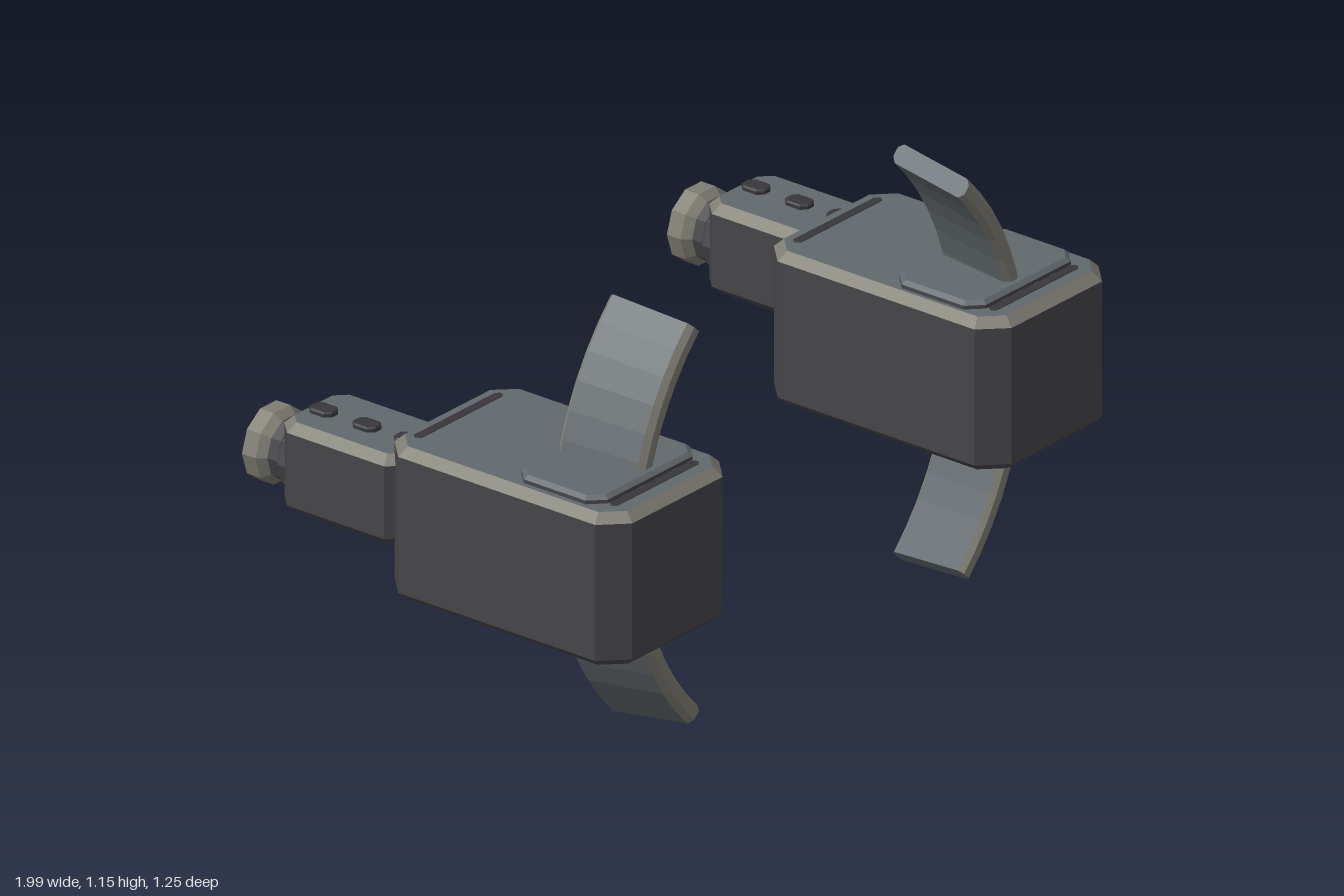
import * as THREE from 'three';

const mat = (name, color) => {
  const m = new THREE.MeshStandardMaterial({ color });
  m.name = name;
  return m;
};

// Flat-faced geometry from a list of triangles' corner points
function fromPoints(points) {
  const g = new THREE.BufferGeometry().setFromPoints(points);
  g.computeVertexNormals();
  return g;
}

// Quads between successive rings, for the chosen edges of the section
function skin(rings, keep = () => true) {
  const out = [];
  for (let r = 0; r + 1 < rings.length; r++) {
    const a = rings[r], b = rings[r + 1], n = a.length;
    for (let i = 0; i < n; i++) {
      if (!keep(i)) continue;
      const j = (i + 1) % n;
      out.push(a[i], a[j], b[j], a[i], b[j], b[i]);
    }
  }
  return out;
}

function cap(ring, flip = false) {
  const out = [];
  for (let i = 1; i + 1 < ring.length; i++) {
    out.push(ring[0], ring[flip ? i + 1 : i], ring[flip ? i : i + 1]);
  }
  return out;
}

// Rectangle with cut corners, lying level at height y
function cutRect(x0, x1, z0, z1, cut, y, inset = 0) {
  x0 += inset; x1 -= inset; z0 += inset; z1 -= inset;
  const c = Math.max(cut - inset * 0.586, 0.004);
  return [
    [x1, z1 - c], [x1, z0 + c], [x1 - c, z0], [x0 + c, z0],
    [x0, z0 + c], [x0, z1 - c], [x0 + c, z1], [x1 - c, z1],
  ].map(([x, z]) => new THREE.Vector3(x, y, z));
}

// Copy across x = 0 with the winding restored
function mirrored(geometry) {
  const g = geometry.clone().scale(-1, 1, 1);
  const p = g.attributes.position;
  const a = new THREE.Vector3(), b = new THREE.Vector3();
  for (let i = 0; i < p.count; i += 3) {
    a.fromBufferAttribute(p, i + 1);
    b.fromBufferAttribute(p, i + 2);
    p.setXYZ(i + 1, b.x, b.y, b.z);
    p.setXYZ(i + 2, a.x, a.y, a.z);
  }
  g.computeVertexNormals();
  return g;
}

export function createModel() {
  const dark = mat('dark casing', 0x464549);
  const plate = mat('grey plate', 0x62696d);
  const trim = mat('worn edge', 0x7f7d73);
  const black = mat('black detail', 0x38373b);

  const parts = [];
  const add = (name, geometry, material) => parts.push({ name, geometry, material });

  // Block with cut corners, bevelled top and bottom
  function block(name, [x0, x1, y0, y1, z0, z1], cut, top, bottom, [side, rim, lid]) {
    const ring = (y, inset) => cutRect(x0, x1, z0, z1, cut, y, inset);
    const low = ring(y0, bottom), high = ring(y1, top[0]), shoulder = ring(y1 - top[1], 0);
    add(name + 'Sides', fromPoints([
      ...cap(low, true), ...skin([low, ring(y0 + bottom, 0), shoulder]),
    ]), side);
    add(name + 'Rim', fromPoints(skin([shoulder, high])), rim);
    add(name + 'Top', fromPoints(cap(high)), lid);
  }

  // Main housing and rear extension
  block('housing', [0.505, 0.995, 0.36, 0.78, -0.145, 0.625], 0.066, [0.025, 0.024], 0.02, [dark, trim, plate]);
  block('extension', [0.71, 0.97, 0.48, 0.725, -0.505, -0.1], 0.045, [0.025, 0.024], 0.02, [dark, trim, plate]);

  // Mounting pads above and below
  block('upperPad', [0.54, 0.955, 0.77, 0.8, 0.255, 0.535], 0.04, [0.012, 0.01], 0.002, [dark, plate, plate]);
  block('lowerPad', [0.67, 0.9, 0.31, 0.37, 0.11, 0.485], 0.05, [0.002, 0.002], 0.025, [dark, dark, dark]);

  // Buttons along the extension
  for (const z of [-0.435, -0.295, -0.16]) {
    block('button', [0.828, 0.882, 0.72, 0.738, z - 0.037, z + 0.037], 0.015, [0.004, 0.004], 0.002, [black, black, black]);
  }

  // Narrow grooves across the housing top
  for (const z of [-0.085, 0.55]) {
    block('groove', [0.58, 0.92, 0.778, 0.782, z - 0.013, z + 0.013], 0.01, [0.001, 0.001], 0.001, [black, black, black]);
  }

  // Curved blades, tapering towards the front
  const cy = 0.583, zBack = 0.26, zFront = 0.51, c = 0.014, thick = 0.054;
  const outer = (z) => 0.816 - (z - zBack) * 0.14;
  const section = [
    [zBack + c, 0], [zFront - c, 0], [zFront, c], [zFront, thick - c],
    [zFront - c, thick], [zBack + c, thick], [zBack, thick - c], [zBack, c],
  ];
  const bladeRing = (deg) => {
    const a = THREE.MathUtils.degToRad(deg);
    return section.map(([z, d]) => {
      const r = outer(z) - d;
      return new THREE.Vector3(r * Math.cos(a), cy + r * Math.sin(a), z);
    });
  };
  for (const [name, from] of [['upperBlade', 45], ['lowerBlade', -12]]) {
    const rings = [];
    for (let i = 0; i <= 6; i++) rings.push(bladeRing(from - i * 5.5));
    const isFace = (i) => i === 0 || i === 4;
    add(name, fromPoints([
      ...skin(rings, isFace), ...cap(rings[0], true), ...cap(rings[6]),
    ]), plate);
    add(name + 'Edges', fromPoints(skin(rings, (i) => !isFace(i))), trim);
  }

  // Rear nozzle: neck, flared collar and recessed bore
  const lathe = (name, profile, material) => {
    const g = new THREE.LatheGeometry(profile.map(([r, y]) => new THREE.Vector2(r, y)), 10)
      .rotateY(Math.PI / 10)
      .rotateX(-Math.PI / 2)
      .translate(0.84, 0.585, 0)
      .toNonIndexed();
    g.computeVertexNormals();
    add(name, g, material);
  };
  lathe('nozzleNeck', [[0.098, 0.49], [0.098, 0.515], [0.086, 0.53], [0.086, 0.565]], dark);
  lathe('nozzleCollar', [[0.086, 0.56], [0.104, 0.583], [0.104, 0.627], [0.074, 0.627], [0.068, 0.59]], trim);
  lathe('nozzleBore', [[0.069, 0.592], [0.0001, 0.592]], black);

  // The same unit on both sides
  const model = new THREE.Group();
  for (const side of ['left', 'right']) {
    const unit = new THREE.Group();
    unit.name = side + 'Unit';
    for (const { name, geometry, material } of parts) {
      const mesh = new THREE.Mesh(side === 'left' ? geometry : mirrored(geometry), material);
      mesh.name = name;
      unit.add(mesh);
    }
    model.add(unit);
  }
  return model;
}
